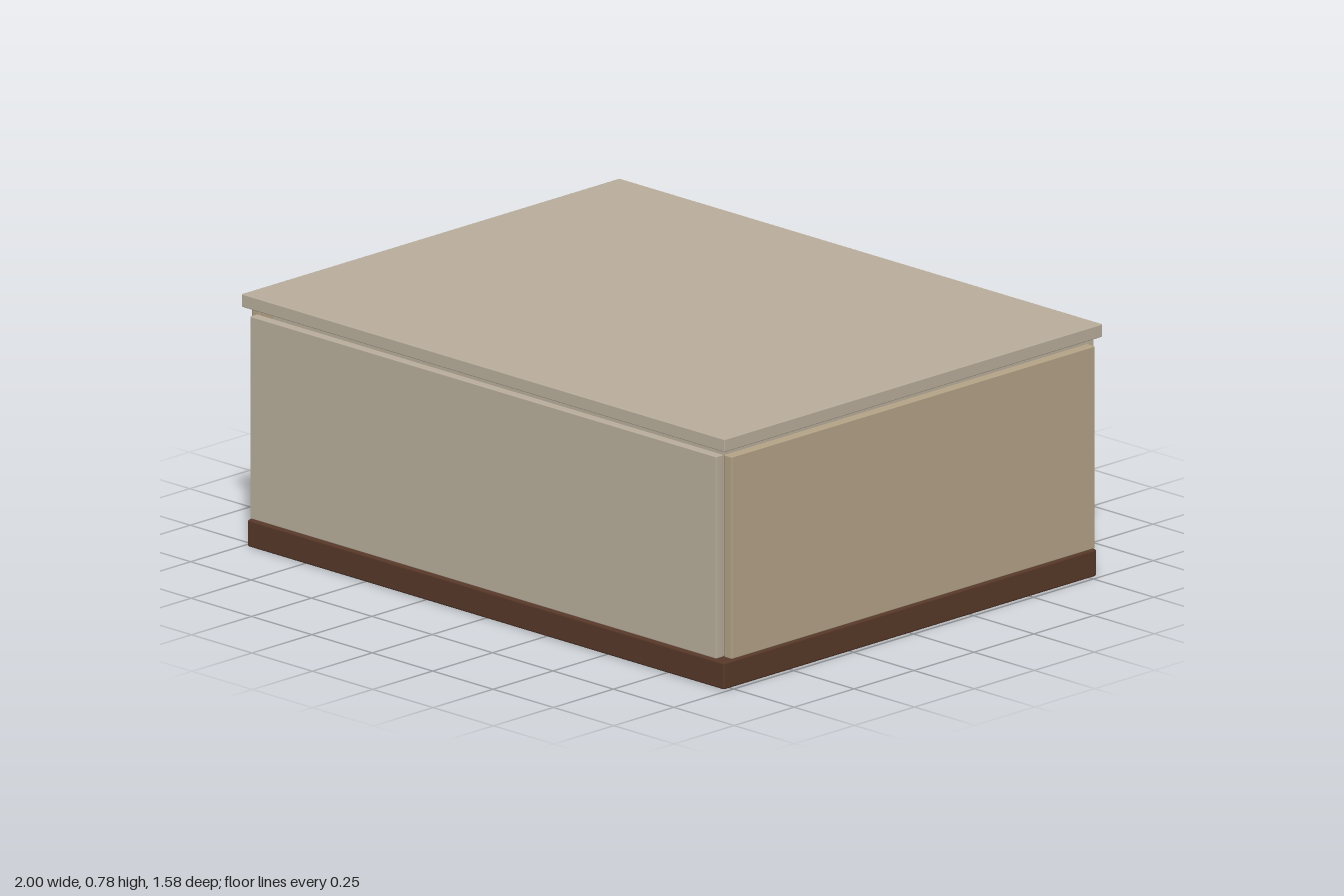
import * as THREE from 'three';
import { RoundedBoxGeometry } from 'three/addons/geometries/RoundedBoxGeometry.js';

export function createModel() {
  const model = new THREE.Group();
  const panelMat = new THREE.MeshStandardMaterial({ color: 0xb8ad9b });
  const sideMat = new THREE.MeshStandardMaterial({ color: 0xb3a286 });
  const woodMat = new THREE.MeshStandardMaterial({ color: 0x573828 });

  // Box given by its extents along each axis, optionally with softened edges
  function slab(name, [x0, x1], [y0, y1], [z0, z1], material, bevel = 0) {
    const size = [x1 - x0, y1 - y0, z1 - z0];
    const geometry = bevel
      ? new RoundedBoxGeometry(...size, 2, bevel)
      : new THREE.BoxGeometry(...size);
    const mesh = new THREE.Mesh(geometry, material);
    mesh.name = name;
    mesh.position.set((x0 + x1) / 2, (y0 + y1) / 2, (z0 + z1) / 2);
    model.add(mesh);
  }

  // Plinth and inner carcass, which shows in the shadow gaps
  slab('plinth', [-0.987, 0.987], [0, 0.083], [-0.778, 0.778], woodMat, 0.006);
  slab('carcassFoot', [-0.945, 0.935], [0.08, 0.1], [-0.73, 0.73], panelMat);
  slab('carcass', [-0.925, 0.935], [0.093, 0.738], [-0.71, 0.73], panelMat);

  // Fixed panels reach up to the lid
  slab('backPanel', [-1, 0.965], [0.093, 0.738], [-0.788, -0.756], panelMat, 0.003);
  slab('leftPanel', [-1, -0.967], [0.093, 0.738], [-0.756, 0.745], sideMat, 0.003);

  // Front and right panels stop below the lid and leave an open corner notch
  slab('frontPanel', [-0.965, 0.965], [0.093, 0.717], [0.758, 0.788], panelMat, 0.003);
  slab('rightPanel', [0.967, 1], [0.093, 0.717], [-0.756, 0.758], sideMat, 0.003);

  // Overhanging lid
  slab('lid', [-1, 1], [0.738, 0.778], [-0.788, 0.788], panelMat, 0.003);

  return model;
}
